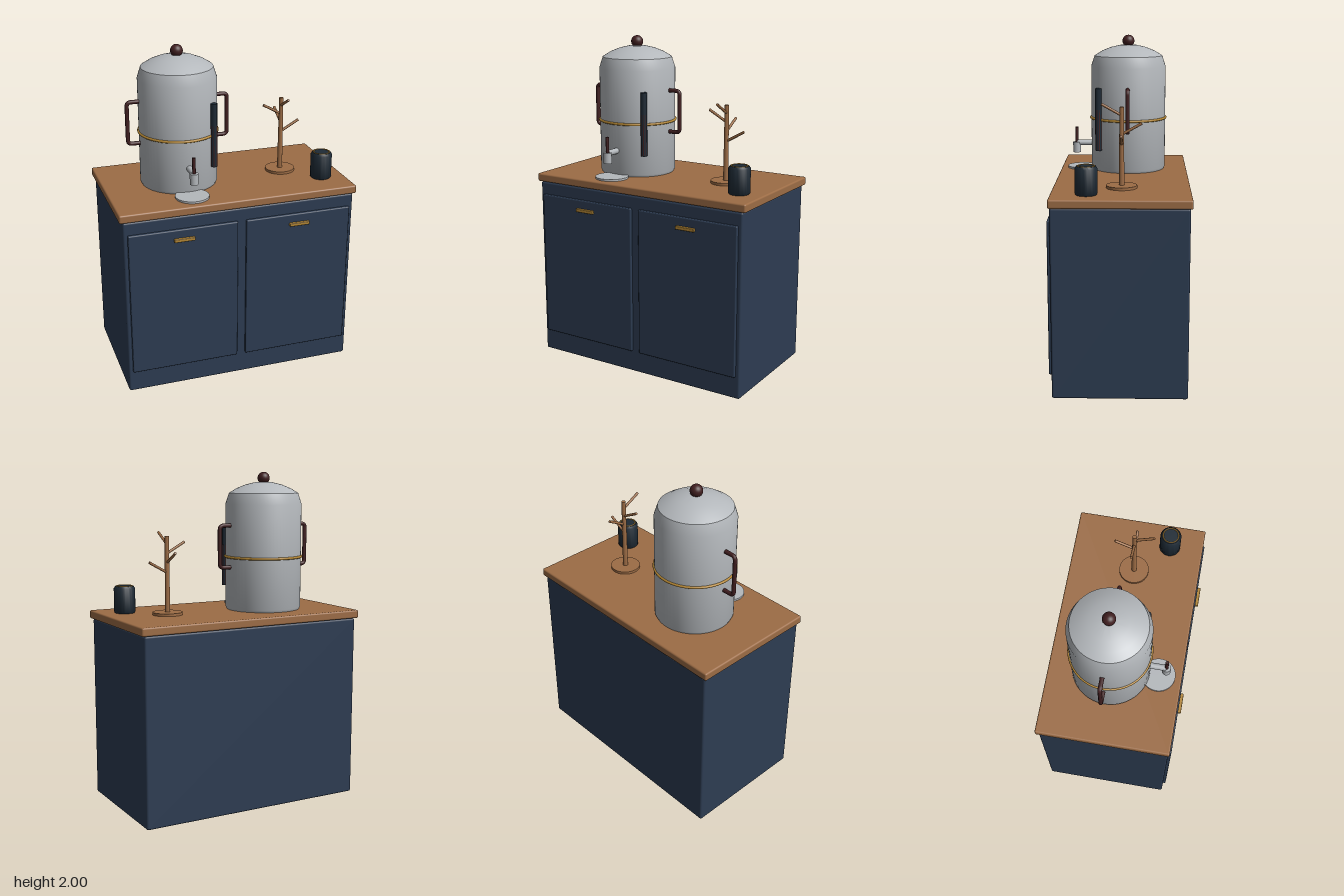
import * as THREE from 'three';
import { RoundedBoxGeometry } from 'three/addons/geometries/RoundedBoxGeometry.js';
import { toCreasedNormals } from 'three/addons/utils/BufferGeometryUtils.js';

const material = (name, color) => {
  const m = new THREE.MeshStandardMaterial({ color });
  m.name = name;
  return m;
};

export function createModel() {
  const navy = material('navy paint', 0x2d3c52);
  const wood = material('warm wood', 0x9c6c45);
  const silver = material('brushed silver', 0xb4b8bc);
  const maroon = material('dark maroon', 0x411f20);
  const brass = material('brass', 0xb38634);
  const slate = material('dark slate', 0x1e2a35);

  const model = new THREE.Group();
  model.name = 'beverageStation';

  const group = (name, x, y, z) => {
    const g = new THREE.Group();
    g.name = name;
    g.position.set(x, y, z);
    model.add(g);
    return g;
  };
  const add = (parent, name, geometry, mat, x = 0, y = 0, z = 0) => {
    const mesh = new THREE.Mesh(geometry, mat);
    mesh.name = name;
    mesh.position.set(x, y, z);
    parent.add(mesh);
    return mesh;
  };
  const lathe = (points, sides = 48) => toCreasedNormals(
    new THREE.LatheGeometry(points.map(([r, y]) => new THREE.Vector2(r, y)), sides), 0.7);
  // Straight round bar between two points
  const bar = (parent, name, mat, a, b, r, sides = 16) => {
    const from = new THREE.Vector3(...a), to = new THREE.Vector3(...b);
    const dir = to.clone().sub(from);
    const mesh = add(parent, name, new THREE.CylinderGeometry(r, r, dir.length(), sides), mat);
    mesh.position.copy(from).add(to).multiplyScalar(0.5);
    mesh.quaternion.setFromUnitVectors(new THREE.Vector3(0, 1, 0), dir.normalize());
    return mesh;
  };

  // Cabinet with two doors and pulls
  const cabinet = group('cabinet', 0, 0, 0);
  add(cabinet, 'cabinetBody', new RoundedBoxGeometry(1.414, 1.112, 0.775, 3, 0.012), navy, 0, 0.556, -0.0125);
  add(cabinet, 'countertop', new RoundedBoxGeometry(1.452, 0.05, 0.795, 3, 0.01), wood, 0, 1.138, -0.0145);
  for (const side of [-1, 1]) {
    add(cabinet, 'door', new RoundedBoxGeometry(0.656, 0.9, 0.03, 2, 0.007), navy, side * 0.354, 0.585, 0.377);
    add(cabinet, 'doorPull', new RoundedBoxGeometry(0.124, 0.02, 0.022, 2, 0.004), brass, side * 0.354, 0.974, 0.399);
  }

  // Domed urn
  const top = 1.163;
  const urn = group('urn', -0.26, top, -0.042);
  add(urn, 'urnBody', lathe([
    [0, 0], [0.226, 0], [0.233, 0.015], [0.233, 0.645], [0.212, 0.71],
    [0.165, 0.739], [0.11, 0.761], [0.05, 0.775], [0, 0.777],
  ], 64), silver);
  add(urn, 'lidKnob', new THREE.SphereGeometry(0.037, 24, 16), maroon, 0, 0.8, 0);
  const band = add(urn, 'urnBand', new THREE.TorusGeometry(0.234, 0.008, 10, 64), brass, 0, 0.324, 0);
  band.rotation.x = Math.PI / 2;

  // Side handles with rounded corners
  for (const side of [-1, 1]) {
    const p = (x, y) => new THREE.Vector3(side * x, y, 0);
    const path = new THREE.CurvePath();
    path.add(new THREE.LineCurve3(p(0.22, 0.517), p(0.28, 0.517)));
    path.add(new THREE.QuadraticBezierCurve3(p(0.28, 0.517), p(0.305, 0.517), p(0.305, 0.492)));
    path.add(new THREE.LineCurve3(p(0.305, 0.492), p(0.305, 0.289)));
    path.add(new THREE.QuadraticBezierCurve3(p(0.305, 0.289), p(0.305, 0.264), p(0.28, 0.264)));
    path.add(new THREE.LineCurve3(p(0.28, 0.264), p(0.22, 0.264)));
    add(urn, 'urnHandle', new THREE.TubeGeometry(path, 64, 0.0125, 12), maroon);
  }

  // Level gauge, with the liquid inside showing along its corners
  add(urn, 'gaugeTube', new THREE.CylinderGeometry(0.02, 0.02, 0.385, 8), slate, 0.167, 0.327, 0.182);
  const liquid = add(urn, 'gaugeLiquid', new THREE.CylinderGeometry(0.0195, 0.0195, 0.25, 8), maroon, 0.167, 0.263, 0.182);
  liquid.rotation.y = Math.PI / 8;

  // Tap and drip tray
  bar(urn, 'tapPipe', silver, [0, 0.158, 0.21], [0, 0.158, 0.325], 0.018, 20);
  add(urn, 'tapSpout', new THREE.CylinderGeometry(0.025, 0.025, 0.065, 24), silver, 0, 0.13, 0.327);
  add(urn, 'tapLever', new THREE.CylinderGeometry(0.01, 0.01, 0.1, 14), maroon, 0, 0.208, 0.327);
  add(urn, 'dripTray', lathe([[0, 0], [0.1, 0], [0.1, 0.012], [0, 0.012]], 40), silver, 0, 0, 0.285);

  // Mug tree with four rising pegs
  const tree = group('mugTree', 0.385, top, -0.015);
  add(tree, 'treeBase', lathe([[0, 0], [0.09, 0], [0.09, 0.016], [0, 0.016]], 40), wood);
  add(tree, 'treePole', new THREE.CylinderGeometry(0.0125, 0.016, 0.465, 20), wood, 0, 0.2325, 0);
  for (const [x, z, y] of [[1, 0, 0.25], [0, -1, 0.308], [-1, 0, 0.364], [0, 1, 0.417]]) {
    bar(tree, 'treePeg', wood, [0, y, 0], [x * 0.115, y + 0.064, z * 0.115], 0.008, 12);
  }

  // Lidded canister with a thin brass rim
  const canister = group('canister', 0.578, top, 0.178);
  add(canister, 'canisterBody', lathe([
    [0, 0], [0.058, 0], [0.064, 0.008], [0.064, 0.148], [0.055, 0.162], [0, 0.162],
  ], 40), slate);
  const rim = add(canister, 'canisterRim', new THREE.TorusGeometry(0.047, 0.0035, 8, 40), brass, 0, 0.162, 0);
  rim.rotation.x = Math.PI / 2;

  return model;
}
